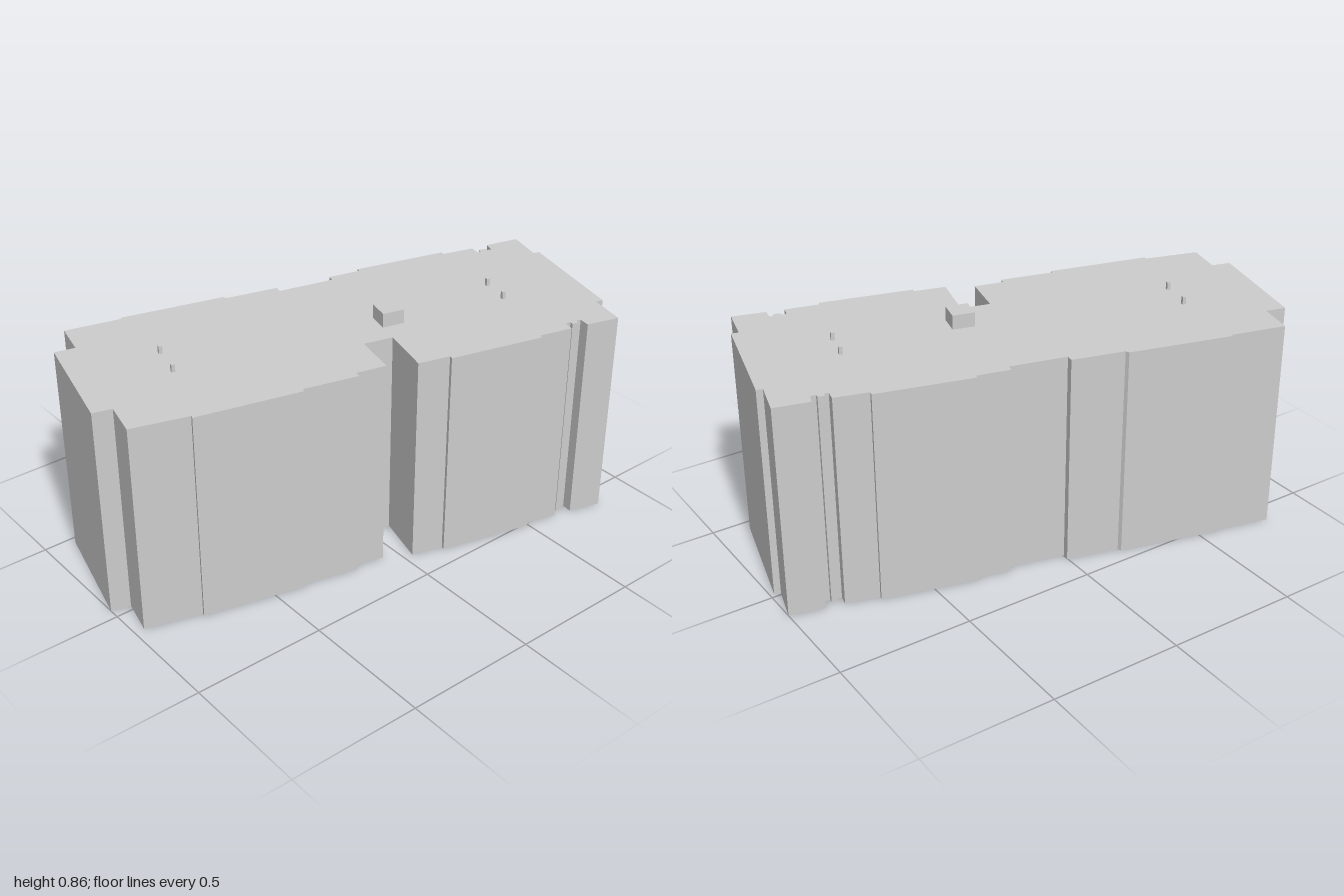
import * as THREE from 'three';

const ROOF = 0.81;   // height of the flat roof
const TURN = -0.25;  // heading of the building on its plot

// Footprint corners as [x, z], clockwise seen from above
const back = [
  [-0.89, -0.47], [-0.815, -0.452], [-0.783, -0.585], [-0.58, -0.535], [-0.573, -0.543],
  [-0.195, -0.445], [-0.19, -0.431], [0.003, -0.381], [-0.002, -0.354], [0.205, -0.304],
  [0.213, -0.328], [0.333, -0.299], [0.338, -0.313], [0.687, -0.222], [0.683, -0.207],
  [0.805, -0.173], [0.797, -0.136], [0.812, -0.133], [0.816, -0.146], [0.84, -0.14],
  [0.838, -0.126], [0.857, -0.121], [0.872, -0.159],
];
const leftEnd = [[1, -0.127], [0.962, 0.008], [0.985, 0.015], [0.872, 0.452], [0.845, 0.445]];
const front = [
  [0.812, 0.582], [0.69, 0.548], [0.697, 0.507], [0.68, 0.503], [0.676, 0.516],
  [0.652, 0.51], [0.655, 0.497], [0.636, 0.492], [0.625, 0.531], [0.5, 0.5],
  [0.495, 0.513], [0.148, 0.424], [0.152, 0.41], [0.035, 0.378], [0.088, 0.183],
  [-0.02, 0.156], [-0.06, 0.322], [-0.17, 0.295], [-0.176, 0.317], [-0.375, 0.267],
  [-0.38, 0.28], [-0.762, 0.187], [-0.758, 0.175],
];
const rightEnd = [[-0.963, 0.115], [-0.93, -0.021], [-1, -0.04]];
const footprint = [...back, ...leftEnd, ...front, ...rightEnd];

// One upright quad per footprint edge, open at the bottom
function wallGeometry(points, height) {
  const pos = [];
  points.forEach(([ax, az], i) => {
    const [bx, bz] = points[(i + 1) % points.length];
    pos.push(ax, 0, az, ax, height, az, bx, height, bz);
    pos.push(ax, 0, az, bx, height, bz, bx, 0, bz);
  });
  const geo = new THREE.BufferGeometry();
  geo.setAttribute('position', new THREE.Float32BufferAttribute(pos, 3));
  geo.computeVertexNormals();
  return geo;
}

export function createModel() {
  const model = new THREE.Group();
  model.name = 'building';
  const shell = new THREE.MeshStandardMaterial({ color: 0xcccccc, side: THREE.DoubleSide });
  const solid = new THREE.MeshStandardMaterial({ color: 0xcccccc });

  const add = (name, geometry, material) => {
    const mesh = new THREE.Mesh(geometry, material);
    mesh.name = name;
    model.add(mesh);
    return mesh;
  };

  // Outer walls
  add('walls', wallGeometry(footprint, ROOF), shell);

  // Flat roof
  const outline = new THREE.Shape(footprint.map(([x, z]) => new THREE.Vector2(x, -z)));
  add('roof', new THREE.ShapeGeometry(outline).rotateX(-Math.PI / 2), shell).position.y = ROOF;

  // Boxes standing on the roof
  const roofBox = (name, x, z, width, height) => {
    const mesh = add(name, new THREE.BoxGeometry(width, height, width), solid);
    mesh.position.set(x, ROOF + height / 2, z);
    mesh.rotation.y = TURN;
  };
  roofBox('roofHousing', 0.159, 0.076, 0.083, 0.054);
  [[-0.607, -0.236], [-0.644, -0.102], [0.629, 0.096], [0.599, 0.21]].forEach(([x, z], i) =>
    roofBox(`chimney${i + 1}`, x, z, 0.013, 0.029));

  return model;
}
